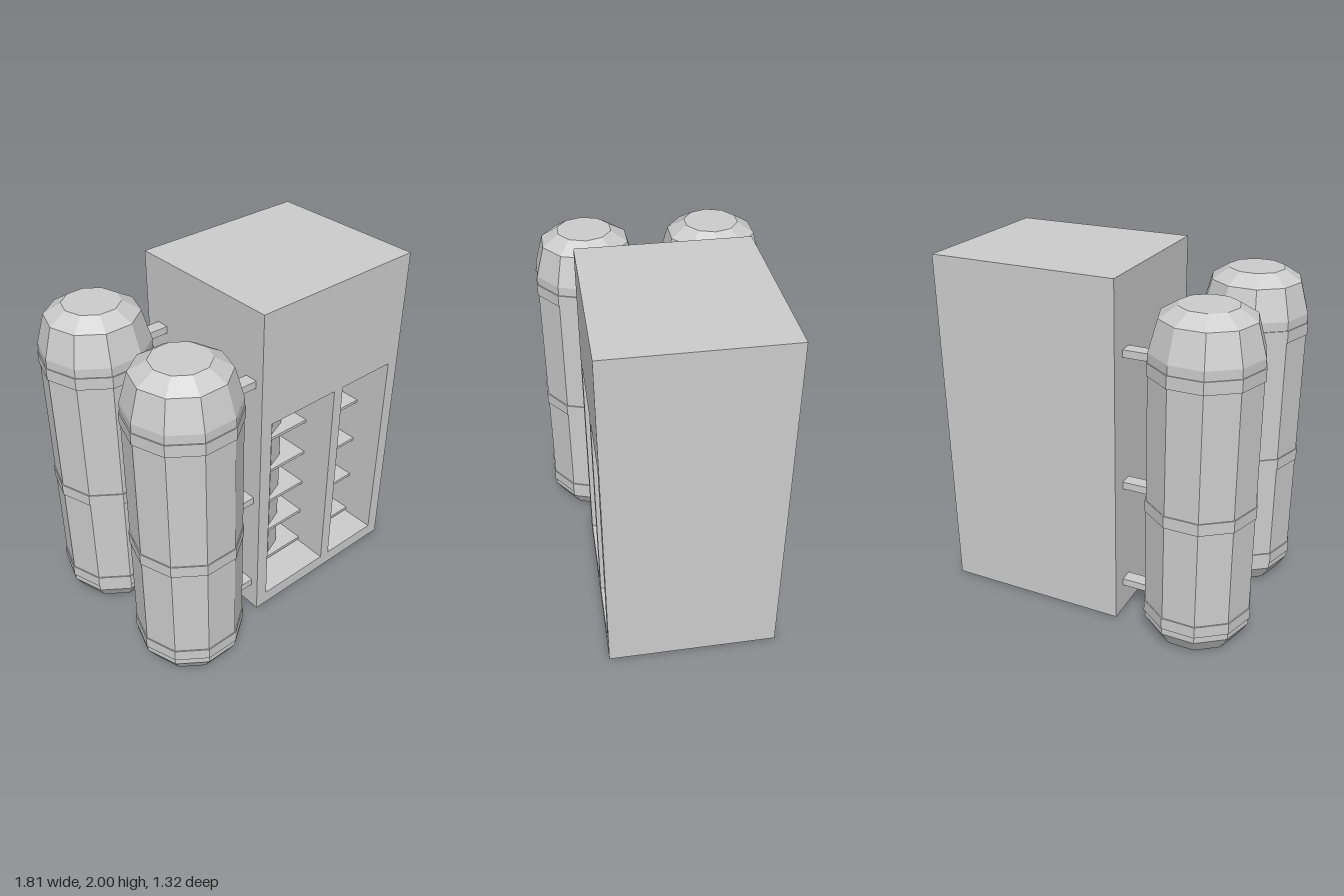
import * as THREE from 'three';

const grey = new THREE.MeshStandardMaterial({ color: 0xcccccc, flatShading: true });
grey.name = 'light grey';

function add(parent, name, geometry, x = 0, y = 0, z = 0) {
  const mesh = new THREE.Mesh(geometry, grey);
  mesh.name = name;
  mesh.position.set(x, y, z);
  parent.add(mesh);
  return mesh;
}

// Box given by its minimum and maximum corners
function addBox(parent, name, [x0, y0, z0], [x1, y1, z1]) {
  const geometry = new THREE.BoxGeometry(x1 - x0, y1 - y0, z1 - z0);
  return add(parent, name, geometry, (x0 + x1) / 2, (y0 + y1) / 2, (z0 + z1) / 2);
}

function rectangle(target, x0, y0, x1, y1) {
  target.moveTo(x0, y0);
  target.lineTo(x1, y0);
  target.lineTo(x1, y1);
  target.lineTo(x0, y1);
  target.closePath();
  return target;
}

const LEFT = -0.16, RIGHT = 0.905, BACK = -0.5, FRONT = 0.45, RECESS = -0.11;
const BAY_BOTTOM = 0.08, BAY_TOP = 1.33;
const bays = [
  { x0: -0.085, x1: 0.385, centre: 0.14, shelves: 5, step: 0.231 },
  { x0: 0.45, x1: 0.83, centre: 0.64, shelves: 4, step: 0.289 },
];

// Cabinet with two open bays, each holding a column and shelves
function createCabinet() {
  const cabinet = new THREE.Group();
  cabinet.name = 'cabinet';
  const face = rectangle(new THREE.Shape(), LEFT, 0, RIGHT, 2);
  for (const { x0, x1 } of bays) {
    face.holes.push(rectangle(new THREE.Path(), x0, BAY_BOTTOM, x1, BAY_TOP));
  }
  const shell = new THREE.ExtrudeGeometry(face, { depth: FRONT - RECESS, bevelEnabled: false });
  add(cabinet, 'cabinetShell', shell, 0, 0, RECESS);
  addBox(cabinet, 'cabinetBack', [LEFT, 0, BACK], [RIGHT, 2, RECESS]);

  for (const { x0, x1, centre, shelves, step } of bays) {
    add(cabinet, 'bayColumn', new THREE.CylinderGeometry(0.16, 0.16, 1.15, 8), centre, 0.665, 0.062);
    for (let i = 0; i < shelves; i++) {
      const top = 0.11 + i * step;
      addBox(cabinet, 'shelf', [x0, top - 0.018, RECESS], [x1, top, 0.25]);
    }
  }
  return cabinet;
}

// Ten-sided tank with three bands and brackets to the cabinet
function createTank(z) {
  const tank = new THREE.Group();
  tank.name = 'tank';
  tank.position.set(-0.603, 0, z);
  const profile = [
    [0, 0.015], [0.24, 0.015], [0.3, 0.11], [0.3, 1.67], [0.252, 1.84], [0.156, 1.9], [0, 1.9],
  ].map(([r, y]) => new THREE.Vector2(r, y));
  add(tank, 'tankBody', new THREE.LatheGeometry(profile, 10)).rotation.y = Math.PI / 2;

  for (const y of [0.183, 0.818, 1.585]) {
    const band = new THREE.CylinderGeometry(0.306, 0.306, 0.068, 10);
    add(tank, 'tankBand', band, 0, y, 0).rotation.y = Math.PI / 2;
    addBox(tank, 'bracket', [0.27, y - 0.021, -0.038], [0.453, y + 0.021, 0.038]);
  }
  return tank;
}

export function createModel() {
  const model = new THREE.Group();
  model.name = 'storageUnit';
  model.add(createCabinet(), createTank(0.364), createTank(-0.369));
  return model;
}
